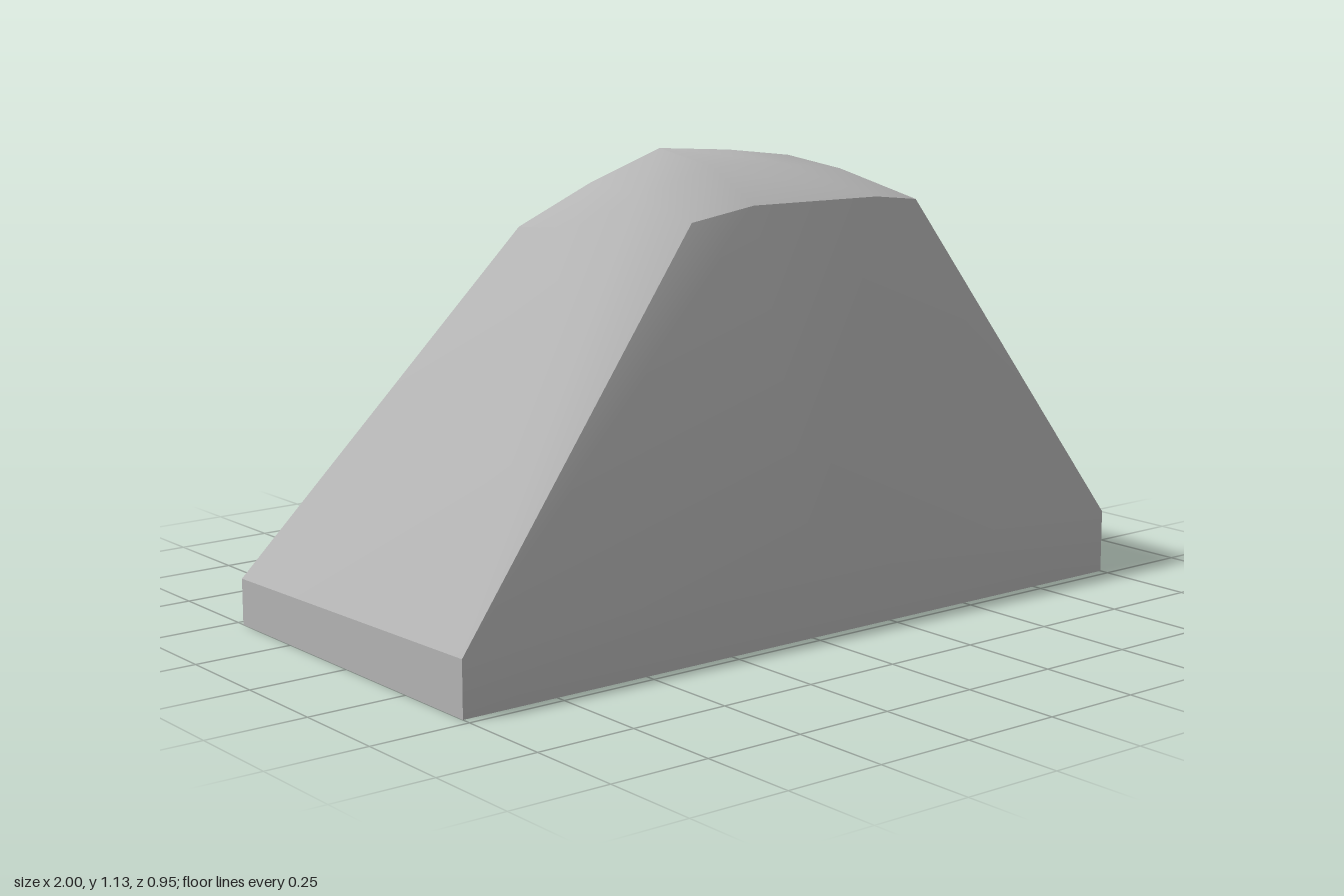
import * as THREE from 'three';
import { ConvexGeometry } from 'three/addons/geometries/ConvexGeometry.js';
import { toCreasedNormals } from 'three/addons/utils/BufferGeometryUtils.js';

export function createModel() {
  const group = new THREE.Group();
  group.name = 'boulder';
  const stone = new THREE.MeshStandardMaterial({ color: 0xb4b4b4 });
  stone.name = 'grey stone';

  // Rectangular foot
  const foot = [[-1, 0, 0.475], [1, 0, 0.475], [1, 0, -0.475], [-1, 0, -0.475]];
  // Uneven rim above the foot, highest midway along the long sides
  const rim = [
    [-1, 0.135, 0.475], [0, 0.19, 0.475], [1, 0.16, 0.475],
    [1, 0.085, -0.475], [0.1, 0.175, -0.475], [-1, 0.115, -0.475],
  ];
  // Shoulder where the steep flanks end, with a slight bulge at the back
  const shoulder = [
    [-0.21, 0.99, 0.275], [-0.03, 1.018, 0.285], [0.36, 1.012, 0.288], [0.5, 0.995, 0.28],
    [0.505, 1.015, -0.05], [0.5, 1.005, -0.2],
    [-0.05, 1.04, -0.24], [-0.12, 1.03, -0.235], [-0.1, 0.84, -0.32],
    [-0.38, 0.95, -0.18], [-0.37, 0.965, 0.02],
  ];
  // Rounded crown
  const crown = [
    [-0.26, 1.06, -0.05], [-0.25, 1.04, 0.13], [-0.05, 1.1, 0.155], [0.17, 1.095, 0.15],
    [0.36, 1.07, 0.155], [0.365, 1.088, -0.05], [0.17, 1.113, -0.05], [-0.05, 1.13, -0.05],
  ];

  const points = [...foot, ...rim, ...shoulder, ...crown].map((p) => new THREE.Vector3(...p));
  // Soft facets, with sharp edges along the foot and shoulder
  const geometry = toCreasedNormals(new ConvexGeometry(points), THREE.MathUtils.degToRad(34));
  const rock = new THREE.Mesh(geometry, stone);
  rock.name = 'rock';
  group.add(rock);
  return group;
}
